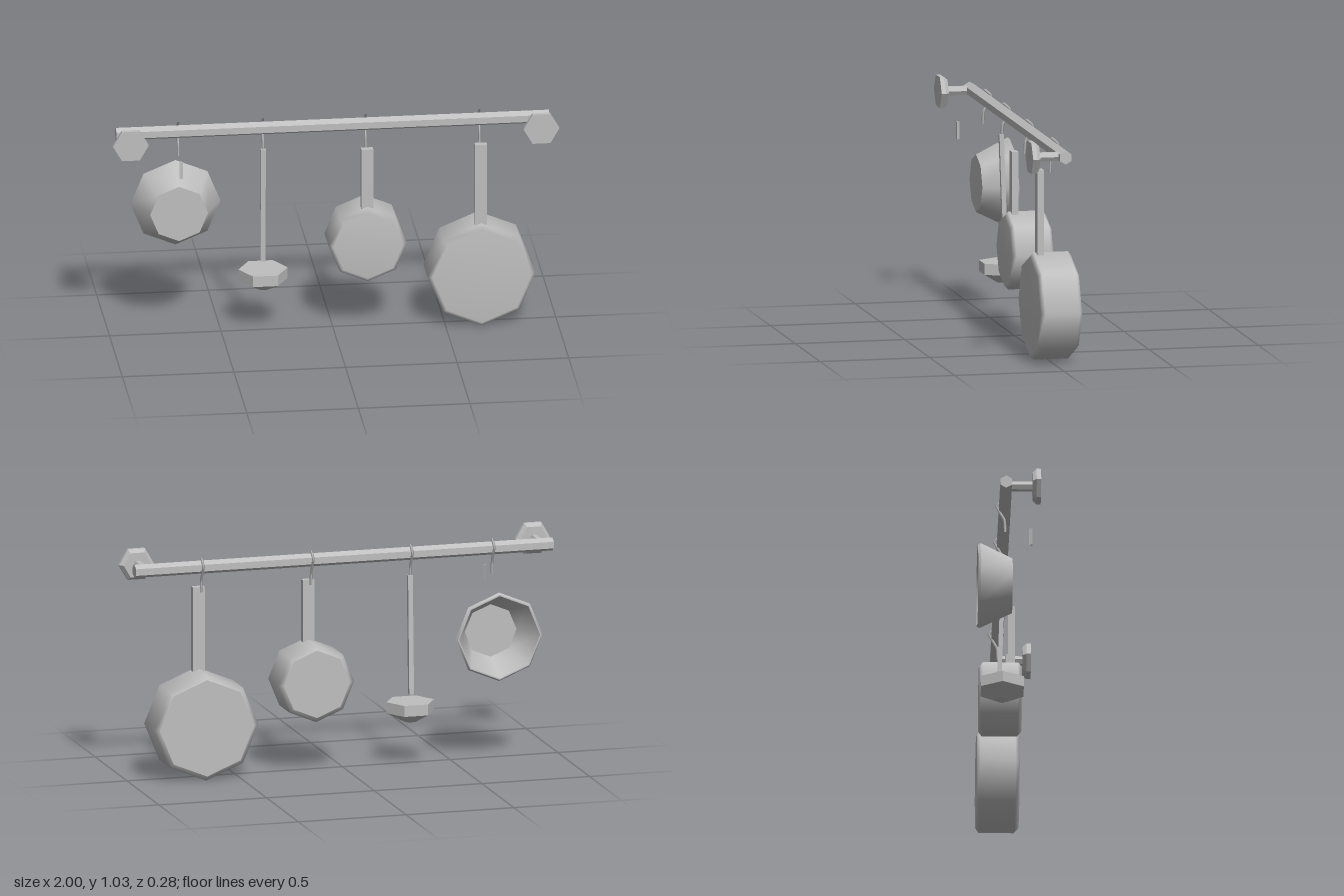
import * as THREE from 'three';
import { toCreasedNormals } from 'three/addons/utils/BufferGeometryUtils.js';

const metal = new THREE.MeshStandardMaterial({ color: 0xbfbfbf, side: THREE.DoubleSide });
metal.name = 'grey metal';

export function createModel() {
  const model = new THREE.Group();
  model.name = 'hangingCookwareRack';

  const add = (name, geometry, x, y, z, parent = model) => {
    const mesh = new THREE.Mesh(geometry, metal);
    mesh.name = name;
    mesh.position.set(x, y, z);
    parent.add(mesh);
    return mesh;
  };

  // Faceted six-sided bar or cone, points towards +x and -x
  const hex = (top, bottom, length) =>
    toCreasedNormals(new THREE.CylinderGeometry(top, bottom, length, 6).rotateY(Math.PI / 6), 0.4);

  // Eight-sided turned form along z; a third value of 1 makes that edge sharp
  const turned = (profile) => {
    const points = [];
    for (const [r, z, sharp] of profile) {
      points.push(new THREE.Vector2(r, z));
      if (sharp) points.push(new THREE.Vector2(r, z));
    }
    return new THREE.LatheGeometry(points, 8).rotateX(Math.PI / 2);
  };

  // Rail
  add('rail', hex(0.03, 0.03, 1.94).rotateZ(Math.PI / 2), 0, 0.96, -0.015);

  // Wall mounts at both ends
  for (const side of [-1, 1]) {
    const mount = new THREE.Group();
    mount.name = side > 0 ? 'leftMount' : 'rightMount';
    const x = side * 0.92;
    add('mountPost', hex(0.022, 0.022, 0.11).rotateX(Math.PI / 2), x, 0.96, 0.05, mount);
    add('mountPlate', hex(0.08, 0.08, 0.02).rotateX(Math.PI / 2), x, 0.96, 0.13, mount);
    add('mountBevel', hex(0.08, 0.064, 0.017).rotateX(Math.PI / 2), x, 0.96, 0.1115, mount);
    model.add(mount);
  }

  // Wire hooks over the rail
  const hookPath = new THREE.CatmullRomCurve3([
    new THREE.Vector3(0, 1.0, -0.02),
    new THREE.Vector3(0, 0.97, -0.053),
    new THREE.Vector3(0, 0.9, -0.016),
    new THREE.Vector3(0, 0.845, -0.013),
  ], false, 'catmullrom', 0.1);
  for (const x of [-0.69, -0.31, 0.15, 0.66]) {
    add('hook', new THREE.TubeGeometry(hookPath, 12, 0.006, 4), x, 0, 0);
  }

  // Two pans with flat handles
  const pan = (name, x, y, r, handleBottom) => {
    const group = new THREE.Group();
    group.name = name;
    add('panBody', turned([
      [0, -0.11], [r - 0.022, -0.11, 1], [r, -0.095], [r, 0.062], [r - 0.02, 0.08], [0, 0.08],
    ]), x, y, 0, group);
    const length = 0.86 - handleBottom;
    add('panHandle', new THREE.BoxGeometry(0.054, length, 0.03), x, handleBottom + length / 2, 0.035, group);
    model.add(group);
  };
  pan('smallPan', 0.15, 0.412, 0.176, 0.57);
  pan('largePan', 0.66, 0.244, 0.242, 0.47);

  // Open bowl facing the wall, with a thin separate grip
  add('bowl', turned([
    [0, 0.006], [0.12, 0.006, 1], [0.188, -0.137, 1], [0.194, -0.137, 1],
    [0.202, -0.126, 1], [0.13, 0.018, 1], [0, 0.018],
  ]), -0.69, 0.578, 0);
  add('bowlGrip', toCreasedNormals(
    new THREE.CylinderGeometry(0.009, 0.009, 0.08, 3).rotateY(Math.PI), 0.4), -0.69, 0.82, 0.103);

  // Ladle: slightly tilted handle, straight rim and tapered base
  const ladle = new THREE.Group();
  ladle.name = 'ladle';
  add('ladleHandle', new THREE.BoxGeometry(0.022, 0.54, 0.02), -0.31, 0.59, -0.02, ladle).rotation.x = 0.035;
  add('ladleRim', hex(0.11, 0.11, 0.05), -0.31, 0.262, -0.017, ladle);
  add('ladleBase', hex(0.11, 0.03, 0.043), -0.31, 0.2155, -0.017, ladle);
  model.add(ladle);

  return model;
}
